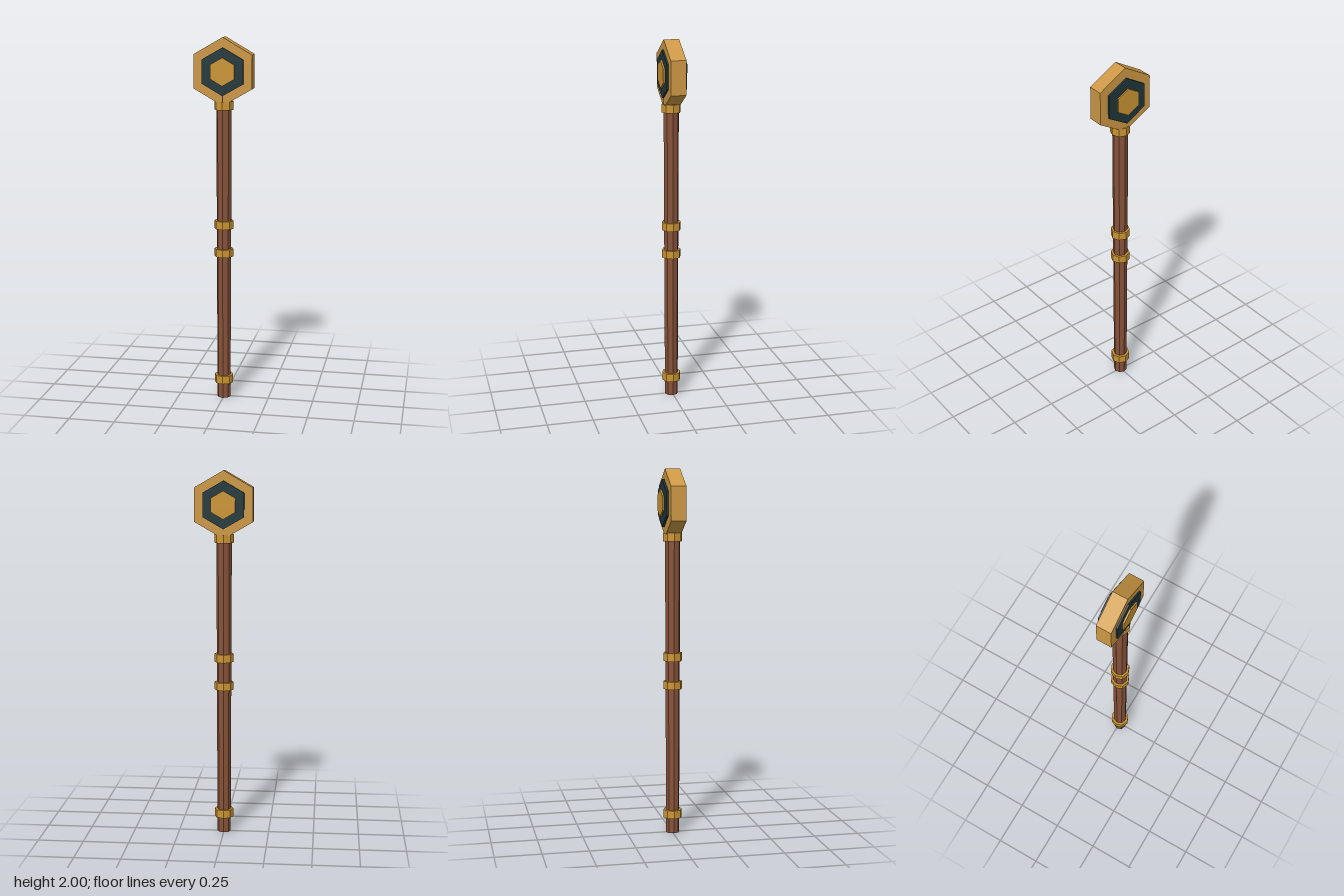
import * as THREE from 'three';

export function createModel() {
  const group = new THREE.Group();
  group.name = 'staff';

  const material = (name, color) => {
    const m = new THREE.MeshStandardMaterial({ color, flatShading: true });
    m.name = name;
    return m;
  };
  const wood = material('brown wood', 0x875239);
  const gold = material('head gold', 0xcc9845);
  const brightGold = material('trim gold', 0xcb9433);
  const dark = material('dark teal', 0x20363a);

  const axisZ = 0.004; // the pole sits slightly forward of the centre

  // Upright eight-sided prism between two heights
  const post = (name, mat, y0, y1, rBottom, rTop) => {
    const mesh = new THREE.Mesh(new THREE.CylinderGeometry(rTop, rBottom, y1 - y0, 8), mat);
    mesh.name = name;
    mesh.position.set(0, (y0 + y1) / 2, axisZ);
    group.add(mesh);
  };

  // Hexagonal plate with a point at the top, between two depths
  const hexPlate = (name, mat, radius, z0, z1) => {
    const geometry = new THREE.CylinderGeometry(radius, radius, z1 - z0, 6);
    geometry.rotateX(Math.PI / 2);
    const mesh = new THREE.Mesh(geometry, mat);
    mesh.name = name;
    mesh.position.set(0, 1.819, (z0 + z1) / 2);
    group.add(mesh);
  };

  // Tapered shaft, running up into the head
  post('shaft', wood, 0, 1.72, 0.037, 0.042);

  // Metal bands along the shaft
  const bands = [[0.085, 0.13], [0.81, 0.853], [0.965, 1.01], [1.615, 1.66]];
  bands.forEach(([y0, y1], i) => post(`band${i + 1}`, brightGold, y0, y1, 0.052, 0.052));

  // Hexagonal head with stacked inlays on both faces
  hexPlate('head', gold, 0.181, -0.038, 0.045);
  hexPlate('frontInlay', dark, 0.128, 0.043, 0.054);
  hexPlate('backInlay', dark, 0.128, -0.054, -0.042);
  hexPlate('frontBoss', brightGold, 0.075, 0.053, 0.063);
  hexPlate('backBoss', brightGold, 0.075, -0.066, -0.057);

  return group;
}
